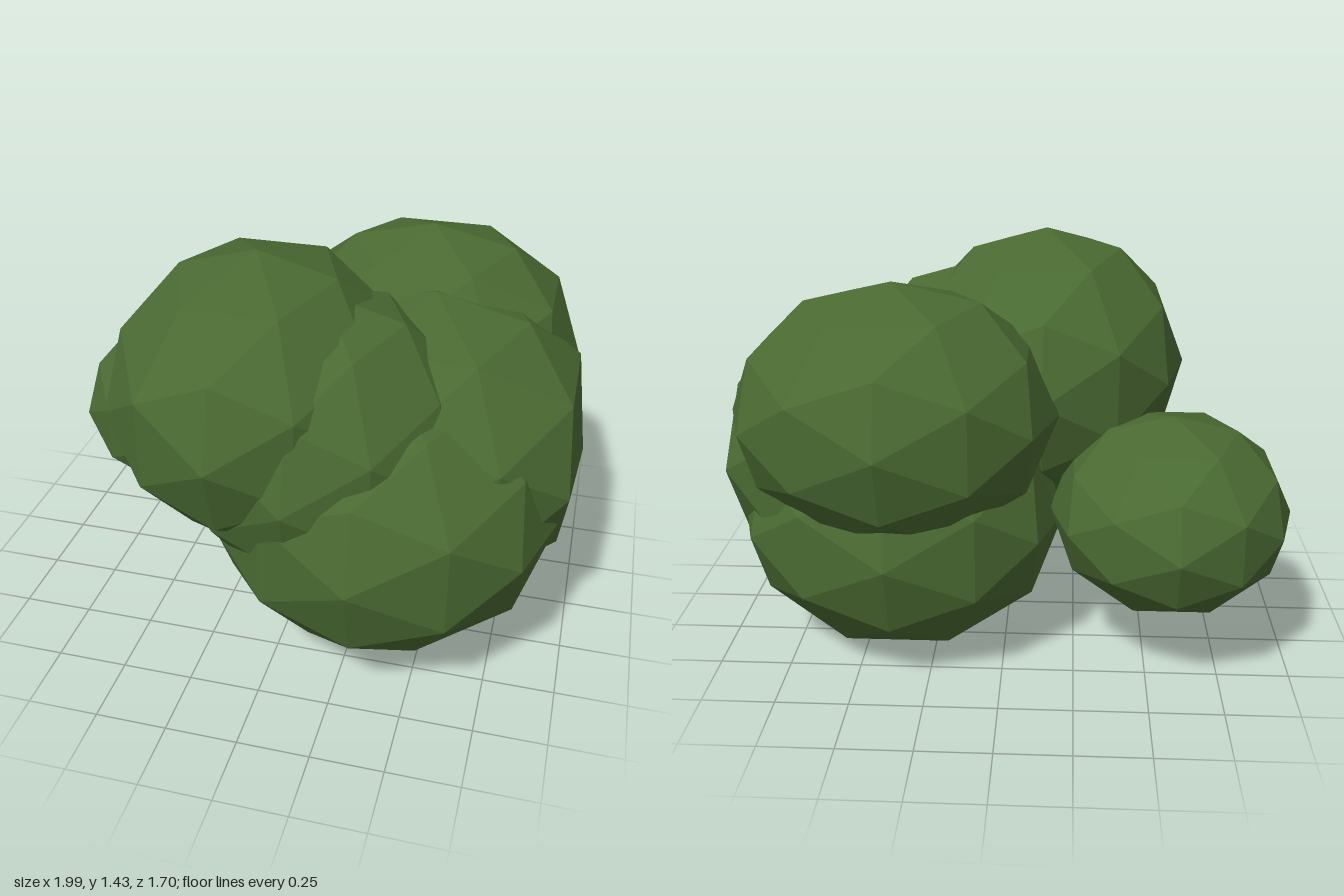
import * as THREE from 'three';

// Each leaf clump: name, centre, radii, optional limit on how far its +x side bulges
const CLUMPS = [
  { name: 'upperFrontClump', at: [-0.13, 0.93, 0.23], r: [0.52, 0.5, 0.615] },
  { name: 'upperBackClump', at: [0.37, 0.9, -0.35], r: [0.56, 0.45, 0.5] },
  { name: 'lowerFrontClump', at: [0.32, 0.55, 0.26], r: [0.62, 0.52, 0.59] },
  { name: 'lowerBackClump', at: [0.37, 0.48, -0.21], r: [0.58, 0.48, 0.53] },
  { name: 'sideClump', at: [0.43, 0.68, -0.03], r: [0.63, 0.55, 0.65], maxX: 0.56 },
  { name: 'middleClump', at: [0.1, 0.78, 0.25], r: [0.53, 0.53, 0.55] },
  { name: 'smallClump', at: [-0.58, 0.535, -0.29], r: [0.42, 0.345, 0.47] },
];

// Low-poly ball stretched to its radii, with one side optionally flattened
function clumpGeometry({ r, maxX = Infinity }) {
  const geometry = new THREE.IcosahedronGeometry(1, 1).scale(...r);
  const pos = geometry.attributes.position;
  for (let i = 0; i < pos.count; i++) pos.setX(i, Math.min(pos.getX(i), maxX));
  geometry.computeVertexNormals();
  return geometry;
}

export function createModel() {
  const bush = new THREE.Group();
  bush.name = 'bush';
  const leaves = new THREE.MeshStandardMaterial({ color: 0x4a6a32, flatShading: true });

  for (const clump of CLUMPS) {
    const mesh = new THREE.Mesh(clumpGeometry(clump), leaves);
    mesh.name = clump.name;
    mesh.position.set(...clump.at);
    bush.add(mesh);
  }
  return bush;
}
